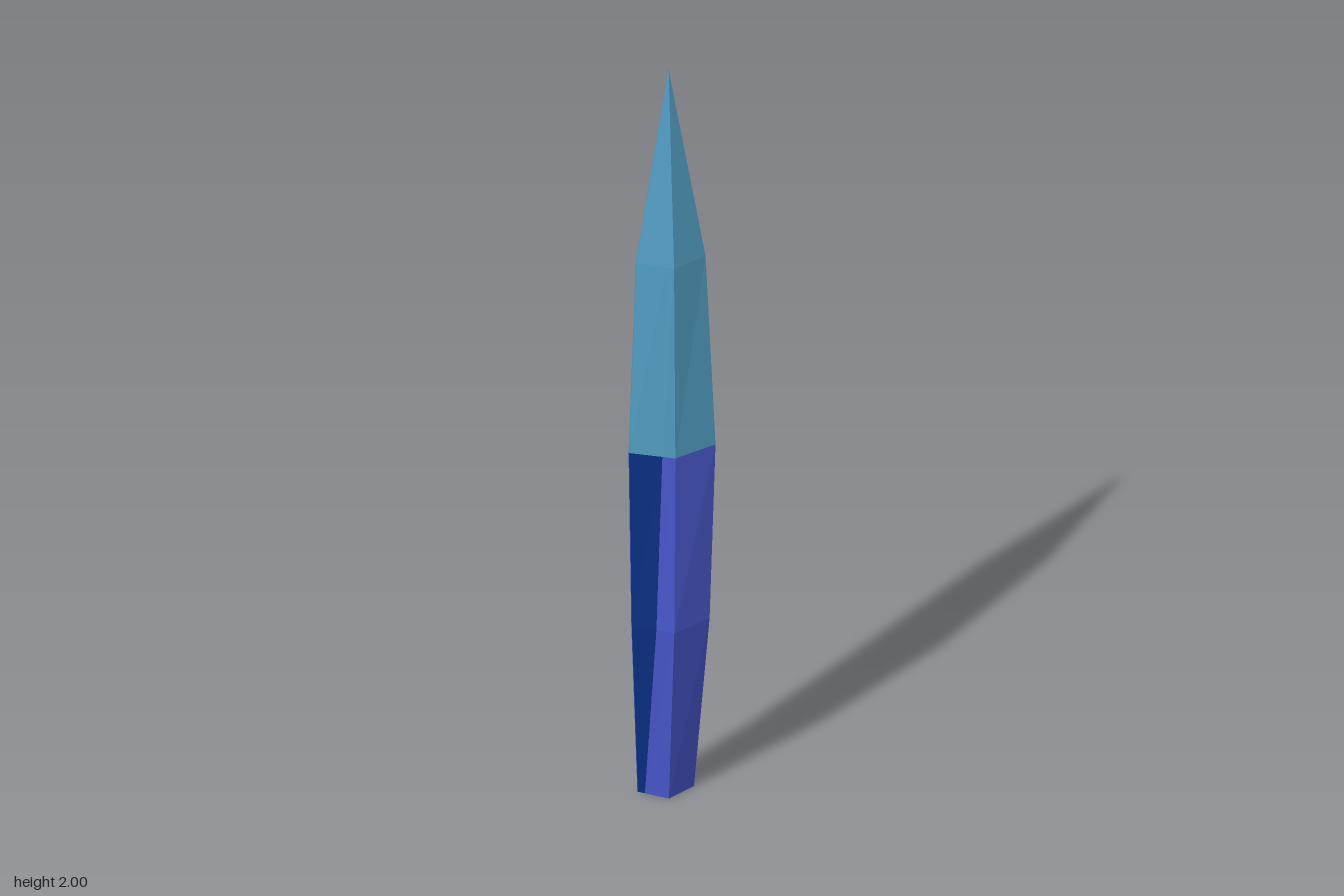
import * as THREE from 'three';

// Cross-sections: height, half width, ridge z, edge z, ridge thickness, edge thickness, split
const rows = [
  [0.0, 0.065, -0.02, -0.06, 0.012, 0.005, 0.77],
  [0.5, 0.09, 0.05, 0.003, 0.012, 0.006, 0.42],
  [0.99, 0.1, 0.064, 0.024, 0.012, 0.007, 0.28],
  [1.5, 0.08, 0.048, 0.007, 0.01, 0.006, 0.2],
  [2.0, 0.0, -0.024, -0.024, 0, 0, 0],
];

// Points around one section: right edge, split, ridge, left edge, then back along the rear
function section([y, w, ridge, edge, tRidge, tEdge, split]) {
  const p = (x, z) => new THREE.Vector3(x, y, z);
  const outer = p(-w, edge), mid = p(0, ridge);
  return [outer, mid.clone().lerp(outer, split), mid, p(w, edge),
    p(w, edge - tEdge), p(0, ridge - tRidge), p(-w, edge - tEdge)];
}
const sections = rows.map(section);

// Flat-faced mesh from a list of four-cornered faces; zero-area triangles are dropped
function facesMesh(name, quads, material) {
  const points = [];
  for (const [a, b, c, d] of quads) {
    for (const corners of [[a, b, c], [a, c, d]]) {
      if (new THREE.Triangle(...corners).getArea() > 1e-9) points.push(...corners);
    }
  }
  const geometry = new THREE.BufferGeometry().setFromPoints(points);
  geometry.computeVertexNormals();
  const mesh = new THREE.Mesh(geometry, material);
  mesh.name = name;
  return mesh;
}

// Faces between neighbouring sections on the chosen sides of the blade
function band(from, to, sides) {
  const quads = [];
  for (let r = from; r < to; r++) {
    const low = sections[r], high = sections[r + 1];
    for (const i of sides) {
      const j = (i + 1) % low.length;
      quads.push([low[i], low[j], high[j], high[i]]);
    }
  }
  return quads;
}

export function createModel() {
  const material = (name, color) => {
    const m = new THREE.MeshStandardMaterial({ color });
    m.name = name;
    return m;
  };
  const teal = material('teal', 0x529cc2);
  const blue = material('blue', 0x4b5bd2);
  const navy = material('navy', 0x0b3185);

  const group = new THREE.Group();
  group.name = 'blade';

  // Pointed upper half
  group.add(facesMesh('upperBlade', band(2, 4, [0, 1, 2, 3, 4, 5, 6]), teal));

  // Lower half with its closed foot
  const [fr, , ridge, fl, bl, groove, br] = sections[0];
  const foot = [[br, groove, ridge, fr], [groove, bl, fl, ridge]];
  group.add(facesMesh('lowerBlade', [...band(0, 2, [1, 2, 3, 4, 5, 6]), ...foot], blue));

  // Dark panel on the front of the lower half
  group.add(facesMesh('darkPanel', band(0, 2, [0]), navy));
  return group;
}
